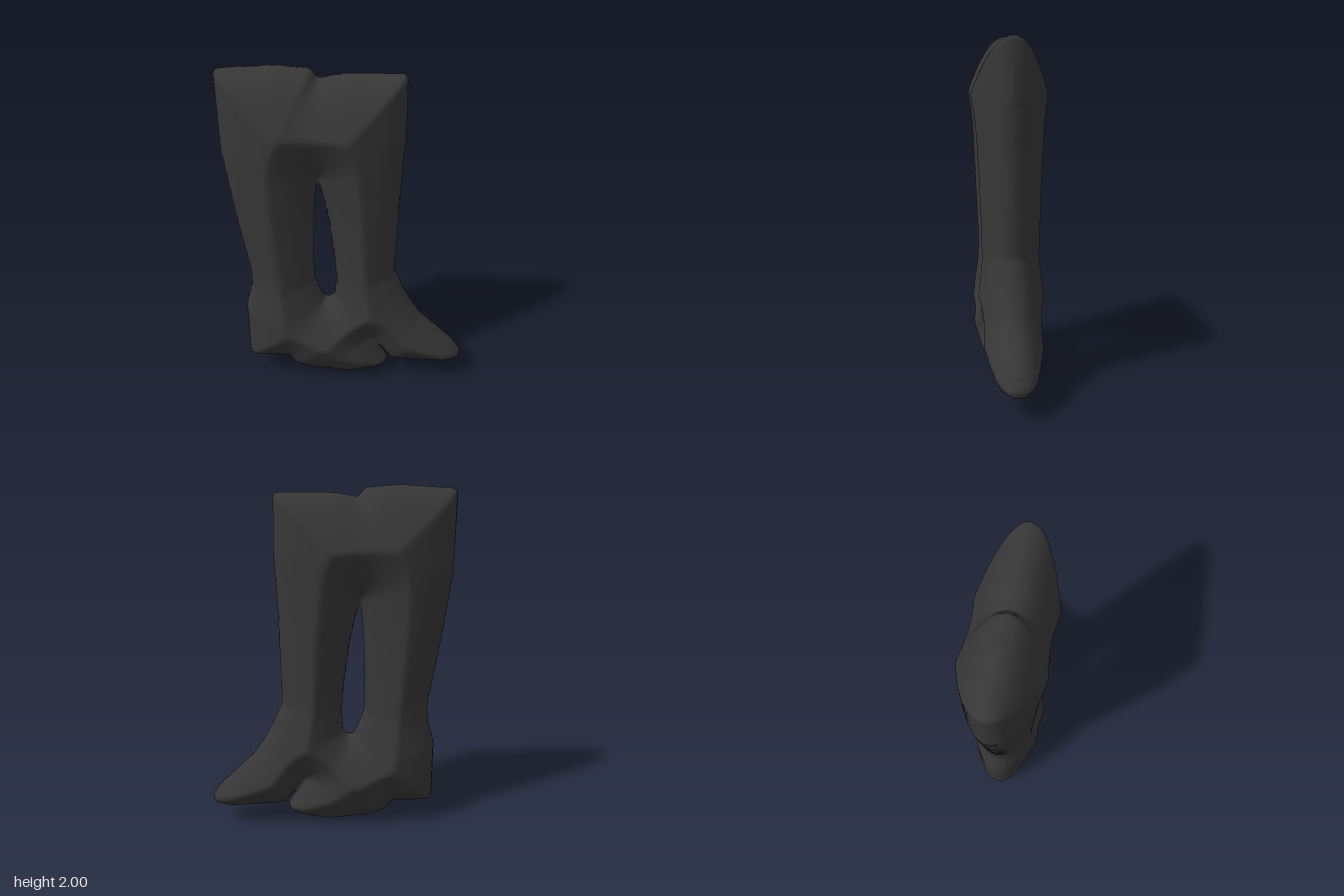
import * as THREE from 'three';
import { mergeVertices } from 'three/addons/utils/BufferGeometryUtils.js';

// Silhouette of the joined pair of boots: tops, front toe, heel gap, rear boot sole, heel, shaft
const outline = [
  [-0.71, 1.96], [-0.69, 1.98], [-0.61, 1.985], [-0.39, 2.0], [-0.2, 1.985], [-0.165, 1.935],
  [-0.03, 1.96], [0.3, 1.96], [0.305, 1.63], [0.285, 1.31], [0.27, 0.76],
  [0.325, 0.63], [0.38, 0.53], [0.44, 0.44], [0.54, 0.345], [0.65, 0.24], [0.7, 0.17],
  [0.69, 0.13], [0.59, 0.1], [0.38, 0.11], [0.26, 0.115], [0.22, 0.17],
  [0.135, 0.285], [0.2, 0.16], [0.24, 0.1], [0.235, 0.07], [0.17, 0.035], [0, 0],
  [-0.26, 0.025], [-0.35, 0.06], [-0.39, 0.115], [-0.6, 0.115], [-0.635, 0.14],
  [-0.635, 0.485], [-0.59, 0.65], [-0.59, 0.75], [-0.64, 1.05], [-0.67, 1.26], [-0.705, 1.53],
];
// Opening between the two shafts
const opening = [
  [-0.18, 1.385], [-0.15, 1.25], [-0.12, 1.1], [-0.09, 0.85], [-0.08, 0.7], [-0.09, 0.58],
  [-0.12, 0.545], [-0.15, 0.55], [-0.18, 0.62], [-0.21, 0.7], [-0.212, 0.9], [-0.205, 1.1], [-0.195, 1.25],
];

// Signed distance to the silhouette edge, positive inside
function edgeDistance(x, y) {
  let best = Infinity, inside = false;
  for (const loop of [outline, opening]) {
    loop.forEach(([ax, ay], i) => {
      const [bx, by] = loop[(i + 1) % loop.length];
      const dx = bx - ax, dy = by - ay;
      const t = THREE.MathUtils.clamp(((x - ax) * dx + (y - ay) * dy) / (dx * dx + dy * dy), 0, 1);
      best = Math.min(best, Math.hypot(x - ax - t * dx, y - ay - t * dy));
      if ((ay > y) !== (by > y) && x < ax + (y - ay) / dy * dx) inside = !inside;
    });
  }
  return inside ? best : -best;
}

// Puffed body: half thickness grows with the square root of the distance to the edge
function puffedGeometry() {
  const step = 0.0125, nx = 118, ny = 165, x0 = -0.735, y0 = -0.03;
  let grid = [];
  for (let j = 0; j <= ny; j++)
    for (let i = 0; i <= nx; i++) grid.push(edgeDistance(x0 + i * step, y0 + j * step));

  // Soften the ridges a little
  const row = nx + 1;
  for (let pass = 0; pass < 3; pass++) {
    const src = grid;
    grid = src.map((d, k) => {
      const i = k % row, j = Math.floor(k / row);
      if (!i || !j || i === nx || j === ny) return d;
      return d / 2 + (src[k - 1] + src[k + 1] + src[k - row] + src[k + row]) / 8;
    });
  }

  const corner = (i, j) => ({ x: x0 + i * step, y: y0 + j * step, d: grid[j * row + i] });
  const positions = [];
  const addTriangle = (a, b, c) => {
    const put = (p, side) => positions.push(p.x, p.y, side * 0.4 * Math.sqrt(p.d));
    put(a, 1); put(b, 1); put(c, 1);
    put(a, -1); put(c, -1); put(b, -1);
  };
  // Trim each grid triangle to the part inside the silhouette
  const trim = (corners) => {
    const kept = [];
    corners.forEach((p, k) => {
      const q = corners[(k + 1) % 3];
      if (p.d > 0) kept.push(p);
      if ((p.d > 0) !== (q.d > 0)) {
        const t = p.d / (p.d - q.d);
        kept.push({ x: p.x + t * (q.x - p.x), y: p.y + t * (q.y - p.y), d: 0 });
      }
    });
    for (let k = 2; k < kept.length; k++) addTriangle(kept[0], kept[k - 1], kept[k]);
  };
  for (let j = 0; j < ny; j++) {
    for (let i = 0; i < nx; i++) {
      const a = corner(i, j), b = corner(i + 1, j), c = corner(i + 1, j + 1), d = corner(i, j + 1);
      trim([a, b, c]);
      trim([a, c, d]);
    }
  }
  const soup = new THREE.BufferGeometry();
  soup.setAttribute('position', new THREE.Float32BufferAttribute(positions, 3));
  const geometry = mergeVertices(soup, 1e-5);
  geometry.computeVertexNormals();
  return geometry;
}

export function createModel() {
  const group = new THREE.Group();
  group.name = 'pairOfBoots';
  const leather = new THREE.MeshStandardMaterial({ color: 0x373737 });
  leather.name = 'darkLeather';
  const boots = new THREE.Mesh(puffedGeometry(), leather);
  boots.name = 'joinedBoots';
  group.add(boots);
  return group;
}
